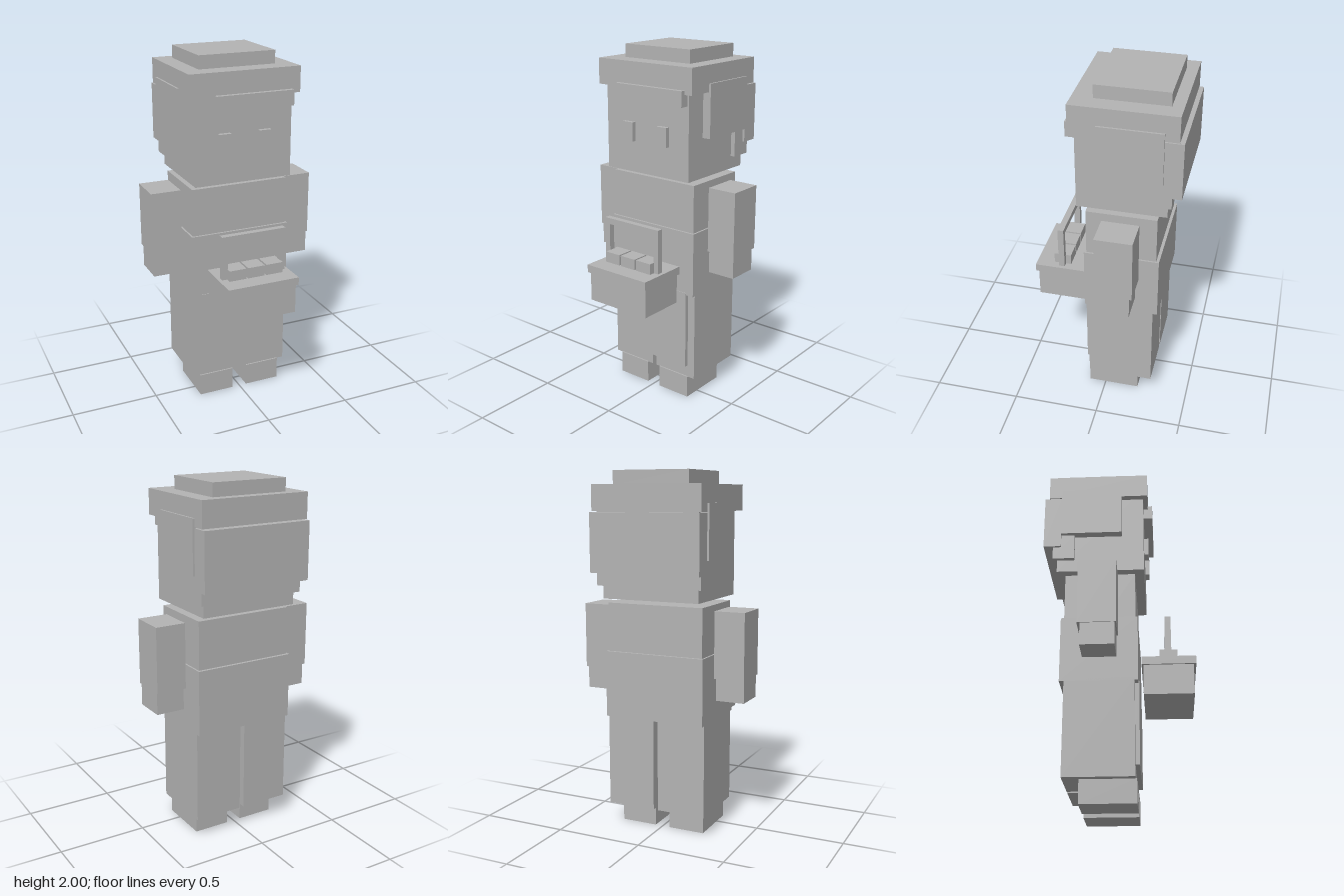
import * as THREE from 'three';

const grey = new THREE.MeshStandardMaterial({ color: 0xb3b3b3 });
grey.name = 'plain grey';

// Box given by its limits on each axis
function block(parent, name, [x0, x1], [y0, y1], [z0, z1]) {
  const mesh = new THREE.Mesh(new THREE.BoxGeometry(x1 - x0, y1 - y0, z1 - z0), grey);
  mesh.position.set((x0 + x1) / 2, (y0 + y1) / 2, (z0 + z1) / 2);
  mesh.name = name;
  parent.add(mesh);
}

// Box centred on x = 0
const centred = (parent, name, half, y, z) => block(parent, name, [-half, half], y, z);

// Mirrored pair of boxes, given by the +x one
function pair(parent, name, [x0, x1], y, z) {
  block(parent, 'left' + name, [x0, x1], y, z);
  block(parent, 'right' + name, [-x1, -x0], y, z);
}

function subgroup(parent, name) {
  const g = new THREE.Group();
  g.name = name;
  parent.add(g);
  return g;
}

export function createModel() {
  const model = new THREE.Group();
  model.name = 'blockFigure';

  // Head, face and hair
  const head = subgroup(model, 'head');
  centred(head, 'skull', 0.283, [1.315, 1.85], [-0.345, 0.146]);
  pair(head, 'Eye', [0.083, 0.153], [1.49, 1.597], [0.14, 0.171]);
  centred(head, 'hairCap', 0.32, [1.785, 1.927], [-0.396, 0.171]);
  centred(head, 'hairCrown', 0.222, [1.92, 2], [-0.334, 0.06]);
  block(head, 'fringe', [-0.178, 0.272], [1.722, 1.807], [0.14, 0.197]);
  pair(head, 'SideHair', [0.27, 0.331], [1.537, 1.83], [-0.322, 0.023]);
  centred(head, 'backHair', 0.32, [1.46, 1.78], [-0.42, -0.322]);
  centred(head, 'napeHair', 0.308, [1.387, 1.537], [-0.368, -0.246]);

  // Body and clothing
  const body = subgroup(model, 'body');
  centred(body, 'torso', 0.283, [0.66, 1.287], [-0.294, 0.096]);
  centred(body, 'jacketWaist', 0.293, [0.647, 1.017], [-0.311, 0.108]);
  centred(body, 'apron', 0.247, [0.2, 0.66], [0.08, 0.112]);

  // Arms and legs
  const limbs = subgroup(model, 'limbs');
  pair(limbs, 'Arm', [0.314, 0.486], [0.895, 1.262], [-0.204, 0.002]);
  pair(limbs, 'Hand', [0.319, 0.481], [0.77, 0.9], [-0.188, -0.006]);
  pair(limbs, 'Leg', [0.013, 0.293], [0.127, 0.66], [-0.286, 0.089]);
  pair(limbs, 'Foot', [0.044, 0.252], [0, 0.13], [-0.2, 0.097]);

  // Carried basket with square handle and three goods
  const basket = subgroup(model, 'basket');
  centred(basket, 'basketBody', 0.2, [0.6, 0.775], [0.134, 0.406]);
  centred(basket, 'basketRim', 0.21, [0.77, 0.815], [0.124, 0.42]);
  pair(basket, 'HandlePost', [0.158, 0.19], [0.81, 1.03], [0.253, 0.287]);
  centred(basket, 'handleBar', 0.19, [1.03, 1.065], [0.253, 0.287]);
  for (const x of [-0.111, 0, 0.111]) {
    block(basket, 'basketItem', [x - 0.05, x + 0.05], [0.81, 0.876], [0.222, 0.32]);
  }

  return model;
}
